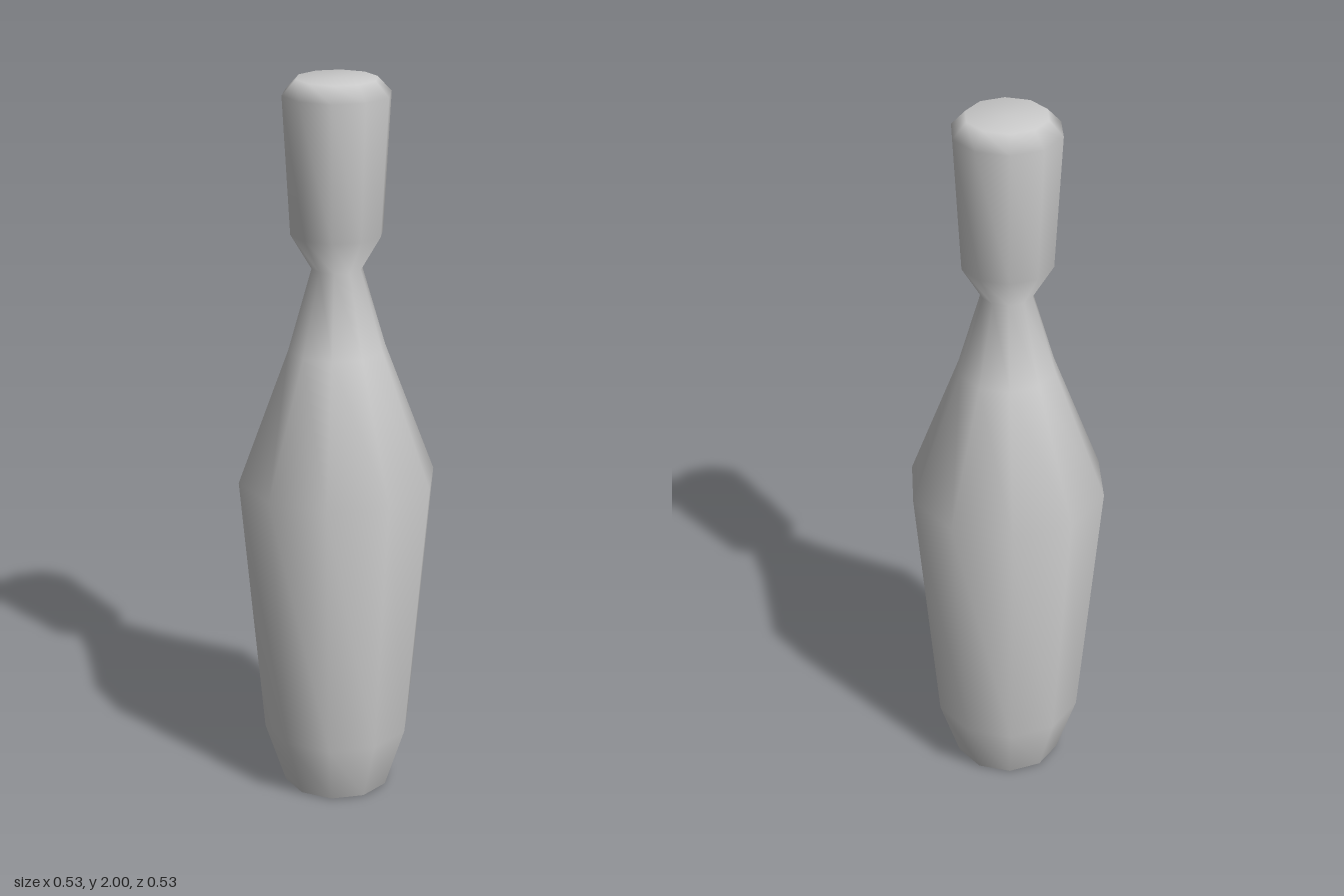
import * as THREE from 'three';

export function createModel() {
  const group = new THREE.Group();
  const material = new THREE.MeshStandardMaterial({ color: 0xcccccc });

  // Radius and height of each ring, from the base centre up to the crown
  const profile = [
    [0, 0.012], [0.03, 0.012], [0.135, 0], [0.148, 0.004], // base, slightly hollow
    [0.205, 0.18], [0.27, 0.915], [0.132, 1.28],           // belly and shoulder
    [0.068, 1.5],                                          // pinched neck
    [0.124, 1.595], [0.144, 1.96], [0.107, 2], [0, 2],     // head
  ].map(([r, y]) => new THREE.Vector2(r, y));

  // Ten-sided turned body, rotated so no side faces straight ahead
  const pin = new THREE.Mesh(new THREE.LatheGeometry(profile, 10, Math.PI / 20), material);
  pin.name = 'pinBody';
  group.add(pin);
  return group;
}
